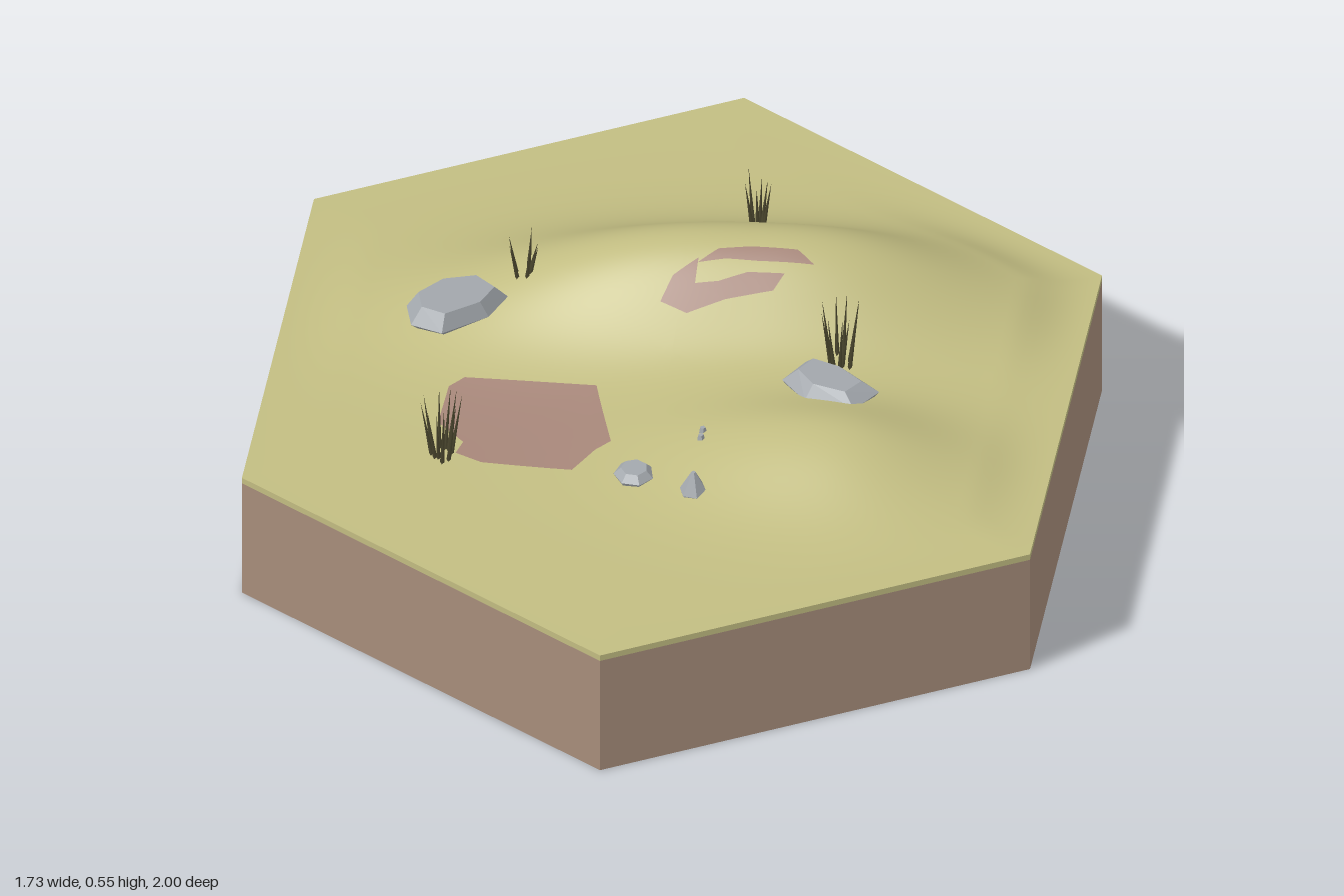
import * as THREE from 'three';
import { toCreasedNormals } from 'three/addons/utils/BufferGeometryUtils.js';
import { ConvexGeometry } from 'three/addons/geometries/ConvexGeometry.js';

const GROUND = 0.315;
const mat = (name, color) => Object.assign(new THREE.MeshStandardMaterial({ color }), { name });

// Rounded hill: separate spreads on each side of its crest
const falloff = (d, low, high, power = 2) => Math.exp(-Math.pow(Math.abs(d) / (d < 0 ? low : high), power));

function height(x, z) {
  const edge = 0.866 - Math.max(Math.abs(x), Math.abs(x / 2 + z * 0.866), Math.abs(x / 2 - z * 0.866));
  const fade = THREE.MathUtils.smoothstep(edge, 0, 0.16);
  const crest = -0.26 - 0.12 * (x - 0.15);
  const back = 0.2 * falloff(x - 0.15, 0.62, 0.49, 2.6) * falloff(z - crest, 0.21, 0.21);
  const front = 0.1 * falloff(x - 0.4, 0.35, 0.29) * falloff(z - 0.26, 0.19, 0.22);
  const swell = 0.012 * Math.exp(-(x * x + z * z) / 0.25);
  return GROUND + fade * (back + front + swell);
}

// Fills an outline (counter-clockwise from above) with rings laid over the hills
function drape(outline, rings, perEdge, lift) {
  const n = outline.length * perEdge;
  const cx = outline.reduce((s, p) => s + p[0], 0) / outline.length;
  const cz = outline.reduce((s, p) => s + p[1], 0) / outline.length;
  const pos = [cx, height(cx, cz) + lift, cz], index = [];
  for (let r = 1; r <= rings; r++) {
    for (let j = 0; j < n; j++) {
      const a = outline[Math.floor(j / perEdge)];
      const b = outline[(Math.floor(j / perEdge) + 1) % outline.length];
      const t = (j % perEdge) / perEdge, k = r / rings;
      const x = cx + (a[0] + (b[0] - a[0]) * t - cx) * k;
      const z = cz + (a[1] + (b[1] - a[1]) * t - cz) * k;
      pos.push(x, height(x, z) + lift, z);
      const o = 1 + (r - 1) * n, j2 = (j + 1) % n;
      if (r === 1) index.push(0, o + j, o + j2);
      else index.push(o - n + j, o + j, o + j2, o - n + j, o + j2, o - n + j2);
    }
  }
  const g = new THREE.BufferGeometry();
  g.setAttribute('position', new THREE.Float32BufferAttribute(pos, 3));
  g.setIndex(index);
  g.computeVertexNormals();
  return g;
}

// Faceted boulder: outline at three levels, each scaled about its centre
function boulder(outline, levels) {
  const cx = outline.reduce((s, p) => s + p[0], 0) / outline.length;
  const cz = outline.reduce((s, p) => s + p[1], 0) / outline.length;
  const pts = [];
  for (const [y, scale, tilt] of levels)
    for (const [x, z] of outline)
      pts.push(new THREE.Vector3(cx + (x - cx) * scale, y + (x - cx) * tilt, cz + (z - cz) * scale));
  return new ConvexGeometry(pts);
}

const ngon = (x, z, r, n) => Array.from({ length: n }, (_, i) =>
  [x + r * Math.sin(i * 2 * Math.PI / n + 0.4), z + r * Math.cos(i * 2 * Math.PI / n + 0.4)]);

export function createModel() {
  const model = new THREE.Group();
  const grass = mat('dry grass', 0xc2bd82);
  const dirt = mat('dirt', 0xa78d7b);
  const bare = mat('bare soil', 0xa68679);
  const stone = mat('stone', 0xa3a8ad);
  const reed = mat('dark reed', 0x4d4930);
  const add = (name, geometry, material, parent = model) => {
    const mesh = new THREE.Mesh(geometry, material);
    mesh.name = name;
    parent.add(mesh);
    return mesh;
  };

  // Hexagonal tile: dirt block, turf rim and hilly top
  add('dirtBase', toCreasedNormals(new THREE.CylinderGeometry(1, 1, 0.3, 6), 0.5), dirt).position.y = 0.15;
  const rim = new THREE.CylinderGeometry(1, 1, 0.015, 6, 1, true);
  add('turfRim', toCreasedNormals(rim, 0.5), grass).position.y = 0.3075;
  const hex = Array.from({ length: 6 }, (_, i) => [Math.sin(i * Math.PI / 3), Math.cos(i * Math.PI / 3)]);
  add('hillyTurf', drape(hex, 50, 24, 0), grass);

  // Bare soil: one patch on the flat, broken pieces on the slope
  const patches = [
    [[-0.47, 0.13], [-0.475, 0.25], [-0.41, 0.31], [-0.42, 0.35], [-0.36, 0.375], [-0.16, 0.38],
      [-0.12, 0.31], [-0.09, 0.28], [-0.15, 0.1], [-0.44, 0.1]],
    [[-0.04, -0.09], [0.02, -0.075], [0.1, -0.11], [0.08, -0.14], [0.03, -0.13], [0.03, -0.18], [-0.02, -0.14]],
    [[0.1, -0.11], [0.2, -0.14], [0.22, -0.175], [0.14, -0.165], [0.08, -0.14]],
    [[0.03, -0.17], [0.09, -0.185], [0.16, -0.19], [0.28, -0.205], [0.24, -0.23], [0.14, -0.22], [0.07, -0.205]],
  ];
  patches.forEach((p, i) => add('soilPatch' + (i + 1), drape(p, 8, 4, 0.004), bare));

  // Boulders and pebbles
  add('perchedBoulder', boulder(
    [[-0.58, 0.02], [-0.56, 0.085], [-0.49, 0.1], [-0.4, 0.02], [-0.37, -0.06], [-0.43, -0.1], [-0.52, -0.06]],
    [[0.437, 0.85, 0], [0.45, 1, -0.05], [0.486, 0.75, -0.06]]), stone);
  add('valleyBoulder', boulder(
    [[0.25, 0.05], [0.31, 0.115], [0.42, 0.13], [0.465, 0.06], [0.38, 0], [0.29, -0.02]],
    [[0.33, 0.7, 0], [0.375, 1, 0], [0.405, 0.65, -0.05]]), stone);
  add('flatStone', boulder(ngon(-0.022, 0.385, 0.045, 7), [[0.325, 0.8, 0], [0.342, 1, 0], [0.358, 0.65, 0]]), stone);
  add('pointedStone', boulder(ngon(0.115, 0.428, 0.031, 6), [[0.32, 0.8, 0], [0.345, 1, 0], [0.395, 0.15, 0]]), stone);
  for (const [i, z] of [0.255, 0.28].entries()) {
    const y = height(0.11, z);
    add('pebble' + (i + 1), boulder(ngon(0.108, z, 0.01, 5), [[y - 0.005, 1, 0], [y + 0.01, 0.6, 0]]), stone);
  }

  // Reed tufts: thin blades fanning out; x, z, tip height, spread, count
  const up = new THREE.Vector3(0, 1, 0);
  const blade = new THREE.ConeGeometry(0.006, 1, 3).translate(0, 0.5, 0);
  const tufts = [[-0.455, 0.355, 0.49, 0.05, 10], [0.36, -0.03, 0.55, 0.045, 9],
    [-0.35, -0.165, 0.53, 0.04, 6], [0.12, -0.44, 0.55, 0.035, 6]];
  tufts.forEach(([x, z, tip, spread, count], t) => {
    const tuft = new THREE.Group();
    tuft.name = 'reedTuft' + (t + 1);
    for (let i = 0; i < count; i++) {
      const a = i * 2.4 + t, k = 0.4 + 0.6 * ((i * 0.618) % 1);
      const bx = x + Math.sin(a) * spread * 0.6 * k, bz = z + Math.cos(a) * spread * 0.6 * k;
      const by = height(bx, bz) - 0.01;
      const dir = new THREE.Vector3(Math.sin(a) * spread * 0.5, (tip - by) * (0.65 + 0.35 * k),
        Math.cos(a) * spread * 0.5);
      const m = add('blade', blade, reed, tuft);
      m.position.set(bx, by, bz);
      m.scale.y = dir.length();
      m.quaternion.setFromUnitVectors(up, dir.normalize());
    }
    model.add(tuft);
  });
  return model;
}
